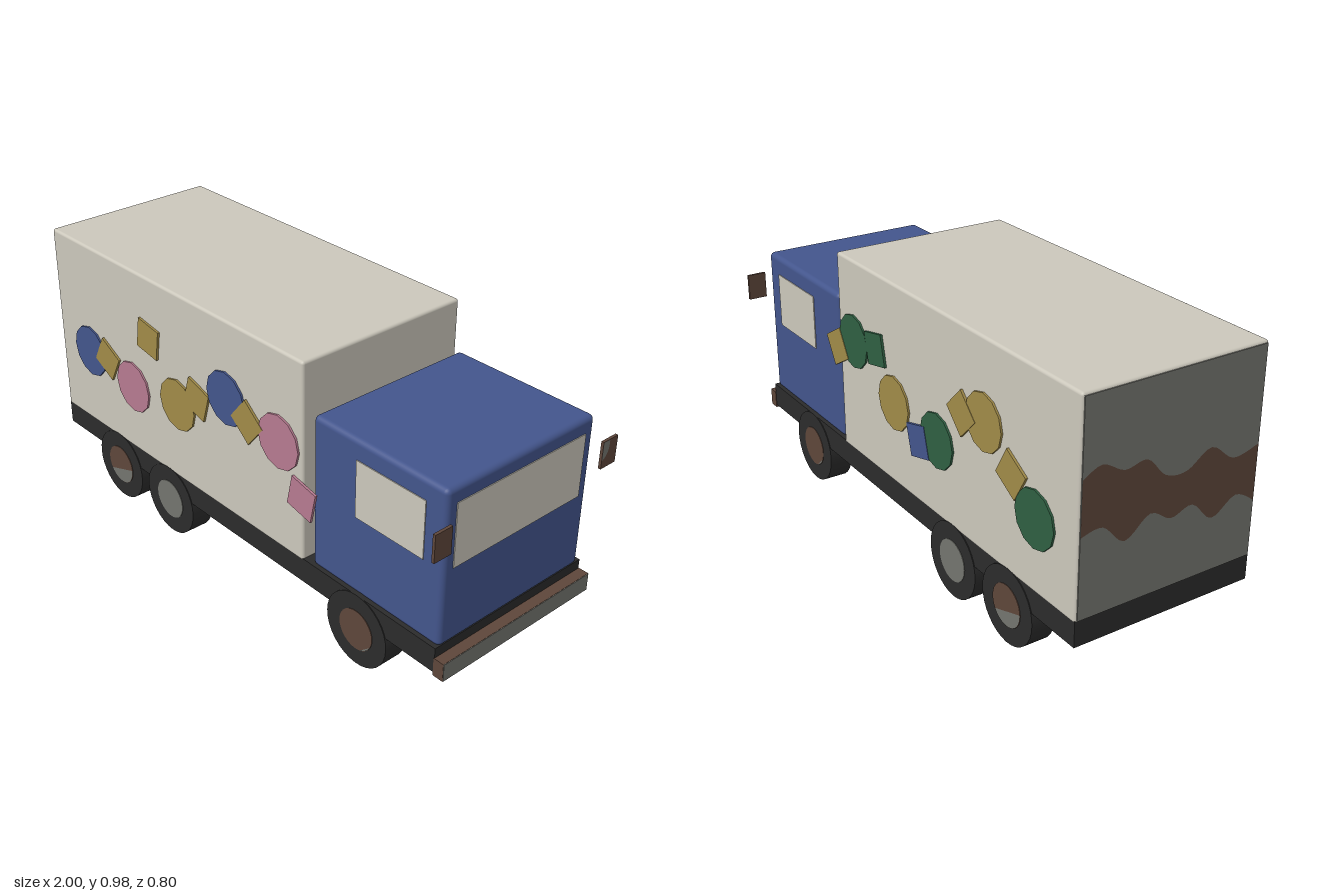
import * as THREE from 'three';
import { RoundedBoxGeometry } from 'three/addons/geometries/RoundedBoxGeometry.js';

const mat = (name, color) => {
  const m = new THREE.MeshStandardMaterial({ color });
  m.name = name;
  return m;
};

export function createModel() {
  const white = mat('white', 0xcbc7bb), blue = mat('blue', 0x43558c);
  const yellow = mat('yellow', 0xa08a48), pink = mat('pink', 0xb67a90);
  const green = mat('green', 0x2f5f42), brown = mat('brown', 0x5e463a);
  const gray = mat('gray', 0x73746e), black = mat('black', 0x2b2b2b);

  const truck = new THREE.Group();
  truck.name = 'truck';

  const add = (name, geo, material, x = 0, y = 0, z = 0, parent = truck) => {
    const m = new THREE.Mesh(geo, material);
    m.name = name;
    m.position.set(x, y, z);
    parent.add(m);
    return m;
  };
  // Box given by its extents on each axis
  const box = (name, material, [x0, x1], [y0, y1], [z0, z1], r = 0) => {
    const s = [x1 - x0, y1 - y0, z1 - z0];
    const geo = r ? new RoundedBoxGeometry(...s, 3, r) : new THREE.BoxGeometry(...s);
    return add(name, geo, material, (x0 + x1) / 2, (y0 + y1) / 2, (z0 + z1) / 2);
  };

  // Body
  box('chassis', black, [-0.995, 0.96], [0.175, 0.265], [-0.333, 0.333]);
  box('cargoBox', white, [-0.997, 0.375], [0.258, 0.979], [-0.335, 0.335], 0.01);
  box('cab', blue, [0.405, 0.96], [0.258, 0.81], [-0.32, 0.32], 0.018);
  box('bumper', brown, [0.958, 0.998], [0.165, 0.23], [-0.335, 0.335]);
  box('bumperFace', gray, [0.997, 1], [0.166, 0.229], [-0.334, 0.334]);

  // Windows
  box('windshield', white, [0.959, 0.963], [0.533, 0.757], [-0.28, 0.28]);
  for (const s of [1, -1]) {
    const z = [0.319 * s, 0.323 * s].sort((a, b) => a - b);
    box('sideWindow', white, [0.598, 0.882], [0.54, 0.742], z);
  }

  // Mirrors
  box('leftMirror', brown, [0.985, 0.995], [0.625, 0.721], [0.331, 0.4]);
  box('rightMirror', brown, [0.985, 0.995], [0.625, 0.721], [-0.4, -0.331]);
  const patch = new THREE.Shape();
  patch.moveTo(0.331, 0.655);
  patch.lineTo(0.331, 0.72);
  patch.lineTo(0.36, 0.72);
  patch.quadraticCurveTo(0.365, 0.67, 0.331, 0.655);
  const patchMesh = add('mirrorPatch', new THREE.ShapeGeometry(patch), gray, 0.996);
  patchMesh.rotation.y = Math.PI / 2;

  // Rear door with a wavy band
  box('rearDoor', gray, [-1, -0.995], [0.266, 0.971], [-0.328, 0.328]);
  const top = [[-0.327, 0.72], [-0.26, 0.75], [-0.18, 0.71], [-0.1, 0.72], [-0.03, 0.65],
    [0.05, 0.64], [0.14, 0.69], [0.23, 0.63], [0.327, 0.65]];
  const bottom = [[0.327, 0.46], [0.25, 0.5], [0.16, 0.45], [0.08, 0.52], [0, 0.5],
    [-0.08, 0.54], [-0.17, 0.48], [-0.25, 0.55], [-0.327, 0.54]];
  const smooth = (pts) => new THREE.SplineCurve(pts.map(([z, y]) => new THREE.Vector2(z, y))).getPoints(40);
  const band = add('rearBand',
    new THREE.ShapeGeometry(new THREE.Shape([...smooth(top), ...smooth(bottom)])), brown, -1.0005);
  band.rotation.y = -Math.PI / 2;

  // Wheels: tyre, with a hub cap on both faces
  const tyreGeo = new THREE.CylinderGeometry(0.134, 0.134, 0.086, 32).rotateX(Math.PI / 2);
  const hubGeo = new THREE.CylinderGeometry(0.074, 0.074, 0.09, 28).rotateX(Math.PI / 2);
  const segment = (from, to) => {
    const s = new THREE.Shape();
    s.absarc(0, 0, 0.073, from, to, false);
    return new THREE.ShapeGeometry(s, 16);
  };
  const wheels = [
    [-0.66, brown, segment(Math.PI * 1.19, Math.PI * 2.02)],
    [-0.35, gray, null],
    [0.628, brown, segment(Math.PI * 1.6, Math.PI * 1.85)],
  ];
  for (const [x, hubColor, seg] of wheels) {
    for (const s of [1, -1]) {
      const wheel = new THREE.Group();
      wheel.name = 'wheel';
      wheel.position.set(x, 0.134, 0.293 * s);
      add('tyre', tyreGeo, black, 0, 0, 0, wheel);
      add('hub', hubGeo, hubColor, 0, 0, 0, wheel);
      if (seg) {
        add('hubPatch', seg, gray, 0, 0, 0.0455, wheel);
        add('hubPatch', seg, gray, 0, 0, -0.0455, wheel).rotation.y = Math.PI;
      }
      truck.add(wheel);
    }
  }

  // Painted dots and squares on the cargo sides: x, y, colour, turn in degrees
  const dotGeo = new THREE.CylinderGeometry(0.097, 0.097, 0.008, 12).rotateX(Math.PI / 2);
  const squareGeo = new THREE.BoxGeometry(0.113, 0.113, 0.009);
  const sides = [
    {
      z: 0.338,
      dots: [[-0.8, 0.56, blue], [-0.535, 0.52, pink], [-0.27, 0.56, yellow], [0, 0.7, blue], [0.263, 0.657, pink]],
      squares: [[-0.687, 0.572, yellow, -28], [-0.422, 0.754, yellow, -9], [-0.157, 0.63, yellow, -17],
        [0.11, 0.66, yellow, -40], [0.375, 0.5, pink, -12]],
    },
    {
      z: -0.338,
      dots: [[-0.8, 0.507, green], [-0.535, 0.708, yellow], [-0.267, 0.533, green], [0, 0.56, yellow], [0.267, 0.688, green]],
      squares: [[-0.682, 0.6, yellow, 30], [-0.415, 0.69, yellow, -45], [-0.155, 0.485, blue, -15],
        [0.115, 0.712, green, -12], [0.382, 0.63, yellow, -30]],
    },
  ];
  for (const { z, dots, squares } of sides) {
    for (const [x, y, c] of dots) add('dot', dotGeo, c, x, y, z);
    for (const [x, y, c, deg] of squares) {
      add('square', squareGeo, c, x, y, z * 1.003).rotation.z = THREE.MathUtils.degToRad(deg);
    }
  }
  return truck;
}
